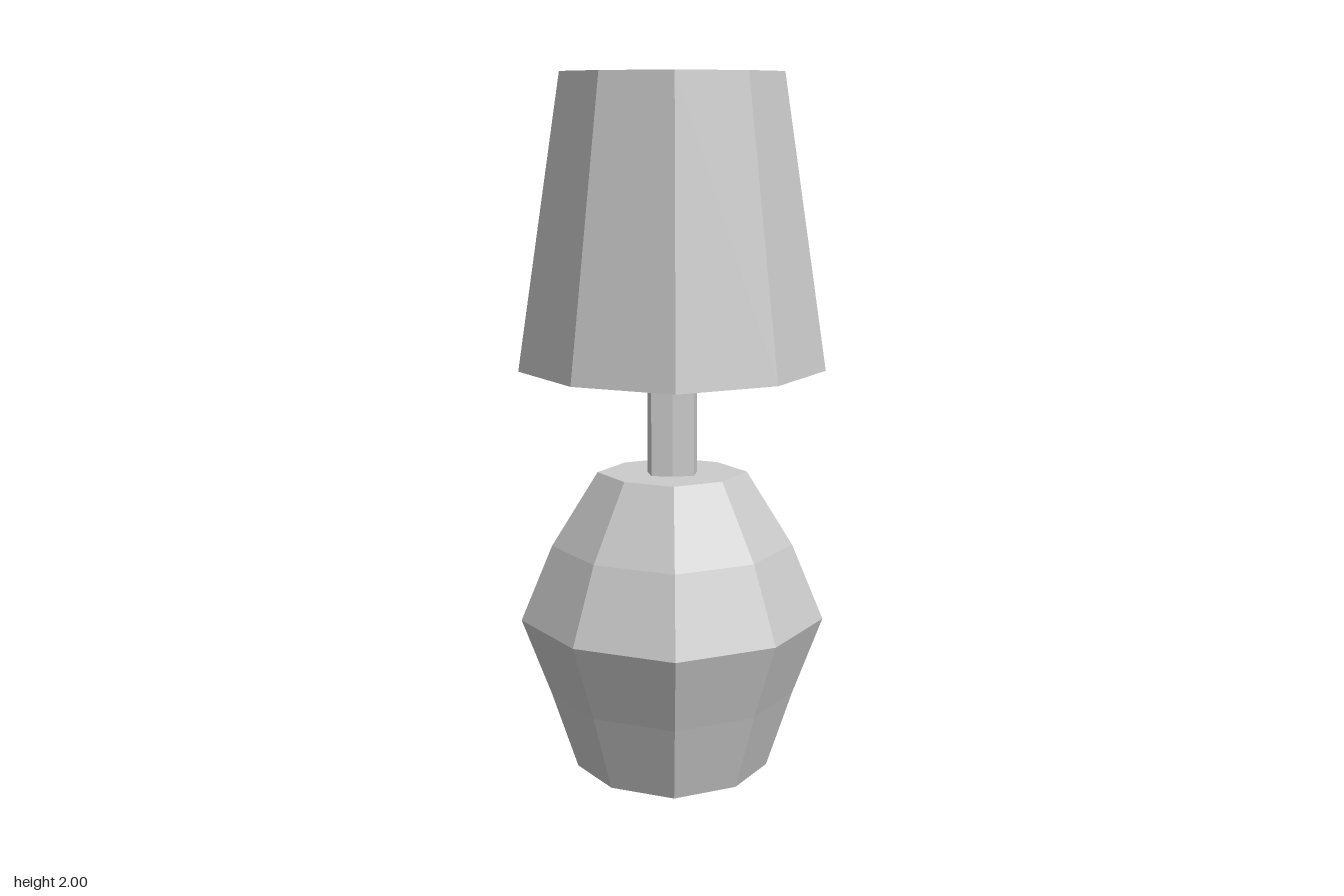
import * as THREE from 'three';

const material = new THREE.MeshStandardMaterial({ color: 0xcccccc, flatShading: true });

// Eight-sided turned part; diagonal corners sit at (kx, kz) times the profile radius.
function octagonal(name, profile, kx, kz) {
  const points = profile.map(([r, y]) => new THREE.Vector2(r, y));
  const geometry = new THREE.LatheGeometry(points, 8);
  const pos = geometry.attributes.position;
  for (let i = 0; i < pos.count; i++) {
    const column = Math.floor(i / points.length);
    if (column % 2 === 0) continue;
    const r = points[i % points.length].x;
    pos.setX(i, Math.sign(pos.getX(i)) * r * kx);
    pos.setZ(i, Math.sign(pos.getZ(i)) * r * kz);
  }
  geometry.computeVertexNormals();
  const mesh = new THREE.Mesh(geometry, material);
  mesh.name = name;
  return mesh;
}

export function createModel() {
  const lamp = new THREE.Group();
  lamp.name = 'tableLamp';

  // Faceted bulging base
  lamp.add(octagonal('base', [
    [0, 0], [0.275, 0], [0.35, 0.22], [0.435, 0.44], [0.345, 0.66], [0.213, 0.875], [0, 0.875],
  ], 0.64, 0.678));

  // Squarish stem running up into the shade
  lamp.add(octagonal('stem', [
    [0, 0.87], [0.07, 0.87], [0.07, 1.5], [0, 1.5],
  ], 0.86, 0.86));

  // Tapered shade, closed on top, with a conical hollow underneath
  lamp.add(octagonal('shade', [
    [0.06, 1.48], [0.435, 1.165], [0.312, 2], [0, 2],
  ], 0.64, 0.67));

  return lamp;
}
